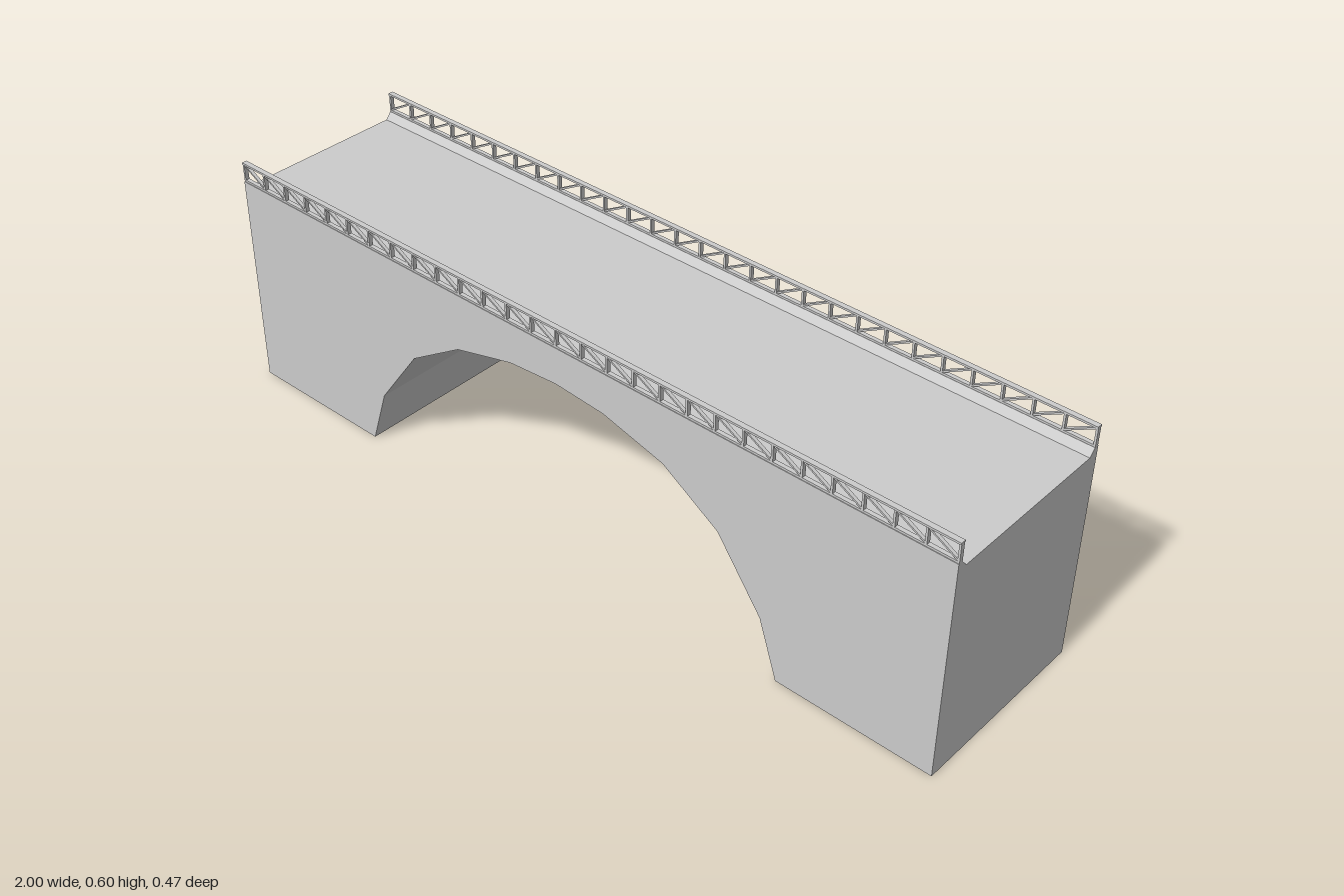
import * as THREE from 'three';

const LENGTH = 2, HALF_WIDTH = 0.234, DECK_Y = 0.53, CURB_Y = 0.547, RAIL_TOP = 0.597;
const BAYS = 28, BAR = 0.005, RAIL_Z = 0.2275, RAIL_DEPTH = 0.01;

const material = new THREE.MeshStandardMaterial({ color: 0xcccccc, flatShading: true });

function addMesh(parent, name, geometry) {
  const mesh = new THREE.Mesh(geometry, material);
  mesh.name = name;
  parent.add(mesh);
  return mesh;
}

function addBar(parent, name, w, h, d, x, y, z) {
  const bar = addMesh(parent, name, new THREE.BoxGeometry(w, h, d));
  bar.position.set(x, y, z);
  return bar;
}

// Solid bridge body with a faceted arch opening
function bodyGeometry() {
  const halfArch = [[0.61, 0], [0.562, 0.145], [0.445, 0.307], [0.297, 0.402], [0.134, 0.445]];
  const arch = [...halfArch, [0, 0.455], ...halfArch.map(([x, y]) => [-x, y]).reverse()];
  const outline = [[1, 0], [1, DECK_Y], [-1, DECK_Y], [-1, 0], ...arch.slice().reverse()];
  const shape = new THREE.Shape(outline.map(([x, y]) => new THREE.Vector2(x, y)));
  const geometry = new THREE.ExtrudeGeometry(shape, { depth: HALF_WIDTH * 2, bevelEnabled: false });
  return geometry.translate(0, 0, -HALF_WIDTH);
}

// Curb with a sloped inner side, running along the front edge
function curbGeometry() {
  const section = [[-HALF_WIDTH, DECK_Y], [-0.208, DECK_Y], [-0.222, CURB_Y], [-HALF_WIDTH, CURB_Y]];
  const shape = new THREE.Shape(section.map(([x, y]) => new THREE.Vector2(x, y)));
  const geometry = new THREE.ExtrudeGeometry(shape, { depth: LENGTH, bevelEnabled: false });
  return geometry.translate(0, 0, -LENGTH / 2).rotateY(Math.PI / 2);
}

// Curb and railing for one edge of the deck
function createSide(name) {
  const side = new THREE.Group();
  side.name = name;
  addMesh(side, 'curb', curbGeometry());

  addBar(side, 'topRail', LENGTH, BAR, 0.013, 0, RAIL_TOP - BAR / 2, RAIL_Z);
  addBar(side, 'bottomRail', LENGTH, BAR, RAIL_DEPTH, 0, CURB_Y + BAR / 2, RAIL_Z);

  const bay = (LENGTH - BAR) / BAYS;
  const low = CURB_Y + BAR, high = RAIL_TOP - BAR;
  const height = high - low, middle = (low + high) / 2;
  for (let i = 0; i <= BAYS; i++) {
    const x = -LENGTH / 2 + BAR / 2 + i * bay;
    addBar(side, 'post', BAR, height, RAIL_DEPTH, x, middle, RAIL_Z);
    if (i === BAYS) break;
    // Diagonal falling from the left post to the right post
    const brace = addBar(side, 'brace', Math.hypot(bay, height), 0.004, 0.008, x + bay / 2, middle, RAIL_Z);
    brace.rotation.z = -Math.atan2(height, bay);
  }
  return side;
}

export function createModel() {
  const bridge = new THREE.Group();
  bridge.name = 'archBridge';
  addMesh(bridge, 'bridgeBody', bodyGeometry());
  bridge.add(createSide('frontRailing'));
  const back = createSide('backRailing');
  back.rotation.y = Math.PI;
  bridge.add(back);
  return bridge;
}
